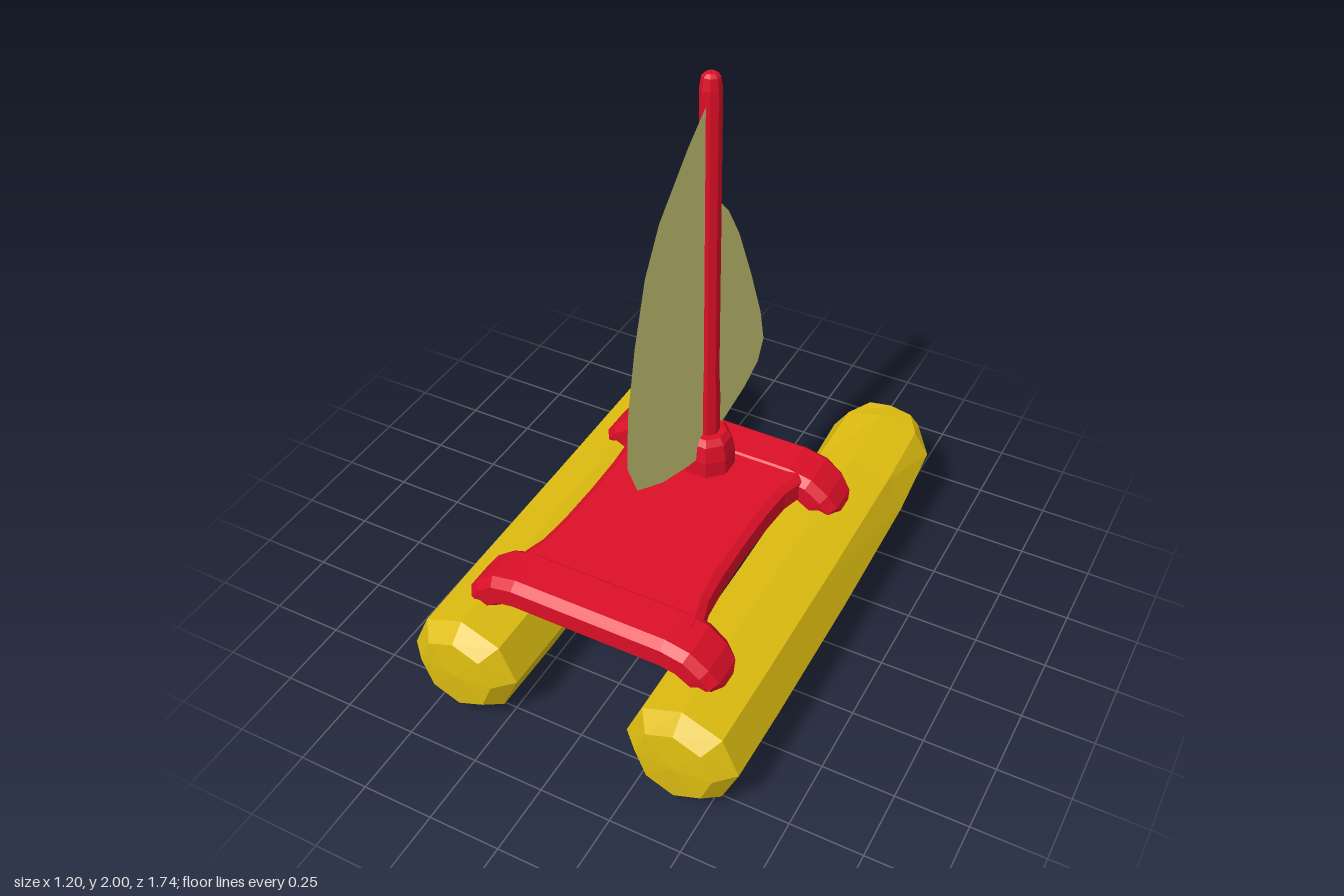
import * as THREE from 'three';

const red = new THREE.MeshStandardMaterial({ color: 0xdc0f27 });
red.name = 'red plastic';
const yellow = new THREE.MeshStandardMaterial({ color: 0xdebd10 });
yellow.name = 'yellow float';
const cloth = new THREE.MeshStandardMaterial({ color: 0xd8d67c, side: THREE.DoubleSide });
cloth.name = 'pale sailcloth';

// Faceted skin over a row of equal rings of Vector3, with pointed caps
function loft(rings, bulge = 0) {
  const pos = [];
  const tri = (...pts) => pts.forEach((p) => pos.push(p.x, p.y, p.z));
  const n = rings[0].length, last = rings.length - 1;
  const middle = (ring) => ring.reduce((s, p) => s.add(p), new THREE.Vector3()).divideScalar(n);
  const start = middle(rings[0]), end = middle(rings[last]);
  const push = end.clone().sub(start).setLength(bulge);
  start.sub(push);
  end.add(push);
  for (let j = 0; j < n; j++) {
    const k = (j + 1) % n;
    for (let i = 0; i < last; i++) {
      const a = rings[i][j], b = rings[i][k], c = rings[i + 1][k], d = rings[i + 1][j];
      tri(a, b, c);
      tri(a, c, d);
    }
    tri(start, rings[0][k], rings[0][j]);
    tri(end, rings[last][j], rings[last][k]);
  }
  const g = new THREE.BufferGeometry();
  g.setAttribute('position', new THREE.Float32BufferAttribute(pos, 3));
  g.computeVertexNormals();
  return g;
}

// Rectangle with cut corners, counterclockwise
function bevelled(w, h, bw, bh) {
  return [[w, -h + bh], [w, h - bh], [w - bw, h], [-w + bw, h],
    [-w, h - bh], [-w, -h + bh], [-w + bw, -h], [w - bw, -h]];
}

function add(parent, name, geometry, material) {
  const mesh = new THREE.Mesh(geometry, material);
  mesh.name = name;
  parent.add(mesh);
  return mesh;
}

// Eight-sided float: z, centre height, reach up, reach down, half width
function hullGeometry() {
  const stations = [
    [-0.865, 0.34, 0.05, 0.07, 0.115],
    [-0.785, 0.285, 0.115, 0.12, 0.187],
    [-0.52, 0.23, 0.17, 0.17, 0.194],
    [0, 0.205, 0.19, 0.195, 0.197],
    [0.52, 0.2, 0.19, 0.195, 0.198],
    [0.8, 0.2, 0.187, 0.187, 0.196],
    [0.86, 0.2, 0.135, 0.14, 0.135],
  ];
  return loft(stations.map(([z, cy, up, down, rx]) =>
    Array.from({ length: 8 }, (_, j) => {
      const a = (j * Math.PI) / 4, s = Math.sin(a);
      return new THREE.Vector3(rx * Math.cos(a), cy + s * (s > 0 ? up : down), z);
    })), 0.01);
}

// Arched crossbar swept along x: x, y, half width, half thickness
function crossbarGeometry() {
  const half = [
    [0.27, 0.458, 0.095, 0.057],
    [0.335, 0.445, 0.095, 0.057],
    [0.385, 0.408, 0.093, 0.055],
    [0.415, 0.372, 0.085, 0.05],
    [0.428, 0.35, 0.058, 0.04],
  ];
  const path = [...half.map(([x, ...r]) => [-x, ...r]).reverse(), ...half];
  return loft(path.map(([x, y, w, t], i) => {
    const p = path[Math.max(i - 1, 0)], q = path[Math.min(i + 1, path.length - 1)];
    const dir = new THREE.Vector2(q[0] - p[0], q[1] - p[1]).normalize();
    return bevelled(w, t, 0.03, 0.025).map(([u, v]) =>
      new THREE.Vector3(x + v * dir.y, y - v * dir.x, u));
  }));
}

// Waisted plate between the crossbars: z, half width
function deckGeometry() {
  const half = [[0, 0.292], [0.16, 0.295], [0.285, 0.305], [0.35, 0.325], [0.42, 0.34]];
  const rows = [...half.slice(1).map(([z, w]) => [-z, w]).reverse(), ...half];
  return loft(rows.map(([z, w]) => bevelled(w, 0.052, 0.025, 0.018).map(([x, y]) =>
    new THREE.Vector3(x, 0.457 + y, z + 0.155))));
}

// Flat sail in the x = 0 plane from an outline of [z, y]
function sailGeometry(outline) {
  const shape = new THREE.Shape(outline.map(([z, y]) => new THREE.Vector2(-z, y)));
  return new THREE.ShapeGeometry(shape).rotateY(Math.PI / 2);
}

// Eight-sided turned part, flats facing the axes
function turned(profile) {
  const k = 1 / Math.cos(Math.PI / 8);
  const pts = profile.map(([r, y]) => new THREE.Vector2(r * k, y));
  const g = new THREE.LatheGeometry(pts, 8, Math.PI / 8).toNonIndexed();
  g.computeVertexNormals();
  return g;
}

export function createModel() {
  const boat = new THREE.Group();
  boat.name = 'catamaran';

  // Twin floats
  const hull = hullGeometry();
  for (const side of [1, -1]) {
    add(boat, side > 0 ? 'leftHull' : 'rightHull', hull, yellow).position.x = 0.4 * side;
  }

  // Deck and its two crossbars
  add(boat, 'deck', deckGeometry(), red);
  const bar = crossbarGeometry();
  add(boat, 'frontCrossbar', bar, red).position.z = 0.603;
  add(boat, 'rearCrossbar', bar, red).position.z = -0.293;

  // Mast and its socket
  const socket = turned([[0, 0.49], [0.088, 0.49], [0.088, 0.57], [0.077, 0.63],
    [0.06, 0.652], [0, 0.655]]);
  add(boat, 'mastSocket', socket, red).position.z = -0.145;
  const mast = turned([[0, 0.6], [0.038, 0.6], [0.038, 0.8], [0.034, 0.9],
    [0.033, 1.95], [0.027, 1.99], [0.015, 2], [0, 2]]);
  add(boat, 'mast', mast, red).position.z = -0.145;

  // Sails
  add(boat, 'mainSail', sailGeometry([[-0.14, 1.88], [-0.11, 1.9], [0, 1.82], [0.18, 1.66],
    [0.27, 1.52], [0.34, 1.31], [0.39, 1.09], [0.403, 0.89], [0.345, 0.755], [0.18, 0.66],
    [0, 0.592], [-0.06, 0.575], [-0.14, 0.575]]), cloth);
  add(boat, 'foreSail', sailGeometry([[-0.15, 1.5], [-0.2, 1.517], [-0.23, 1.505], [-0.28, 1.45],
    [-0.36, 1.32], [-0.46, 1.1], [-0.545, 0.89], [-0.577, 0.755], [-0.535, 0.68], [-0.43, 0.637],
    [-0.23, 0.6], [-0.15, 0.59]]), cloth);

  return boat;
}
